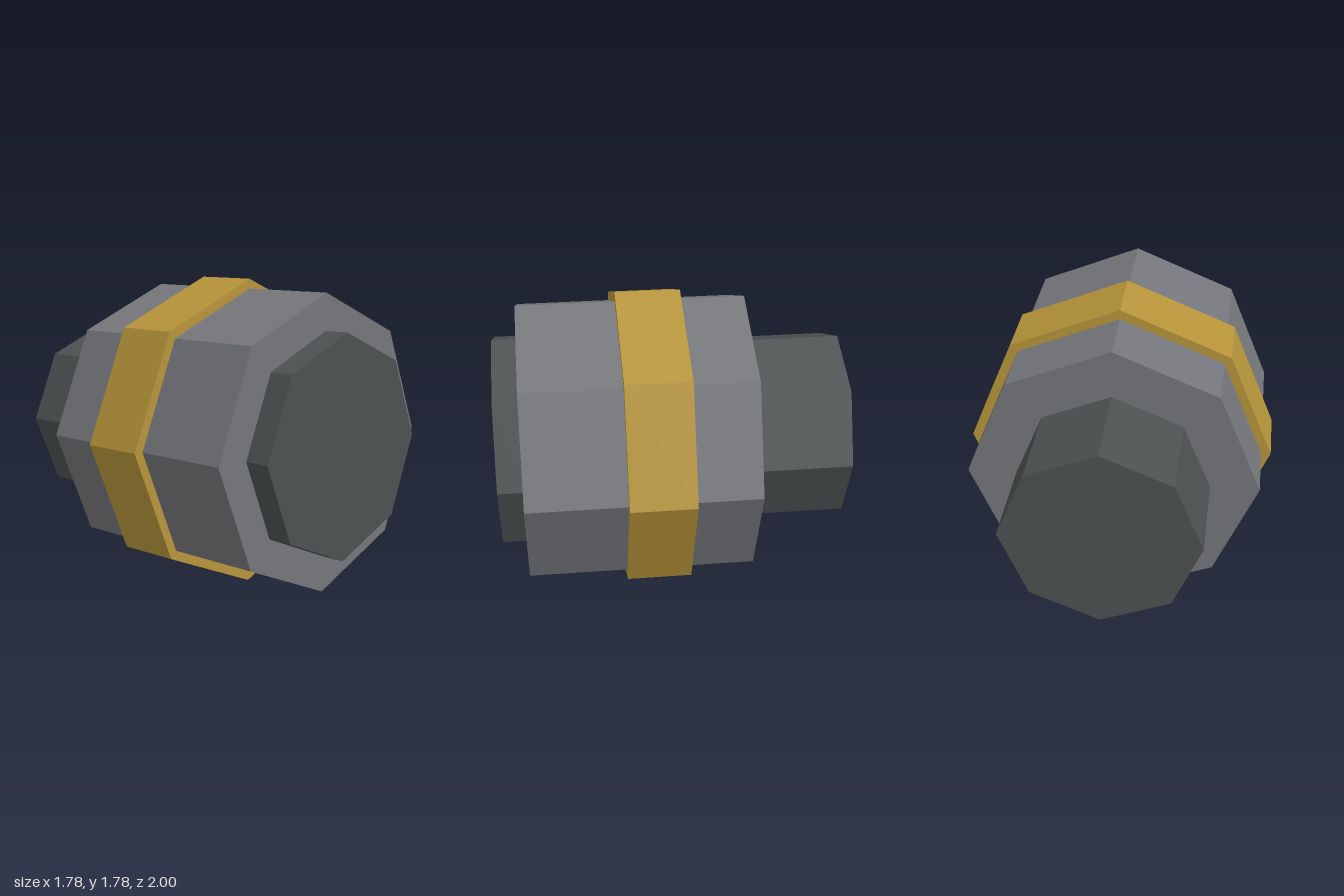
import * as THREE from 'three';

const CENTRE_Y = 0.89;

function flat(name, color) {
  const material = new THREE.MeshStandardMaterial({ color, flatShading: true });
  material.name = name;
  return material;
}

// Octagonal drum along z, with a corner pointing straight up
function drum(name, radius, zBack, zFront, material) {
  const geometry = new THREE.CylinderGeometry(radius, radius, zFront - zBack, 8);
  geometry.rotateX(Math.PI / 2);
  const mesh = new THREE.Mesh(geometry, material);
  mesh.name = name;
  mesh.position.set(0, CENTRE_Y, (zFront + zBack) / 2);
  return mesh;
}

export function createModel() {
  const grey = flat('grey metal', 0x75767b);
  const dark = flat('dark metal', 0x4d5151);
  const brass = flat('brass', 0xb6943a);

  const model = new THREE.Group();
  model.name = 'octagonalCoupling';
  model.add(
    drum('body', 0.834, -0.44, 0.855, grey),
    drum('bandRing', 0.89, -0.073, 0.295, brass),
    drum('frontCap', 0.629, 0.855, 1, dark),
    drum('rearShaft', 0.555, -1, -0.44, dark),
  );
  return model;
}
